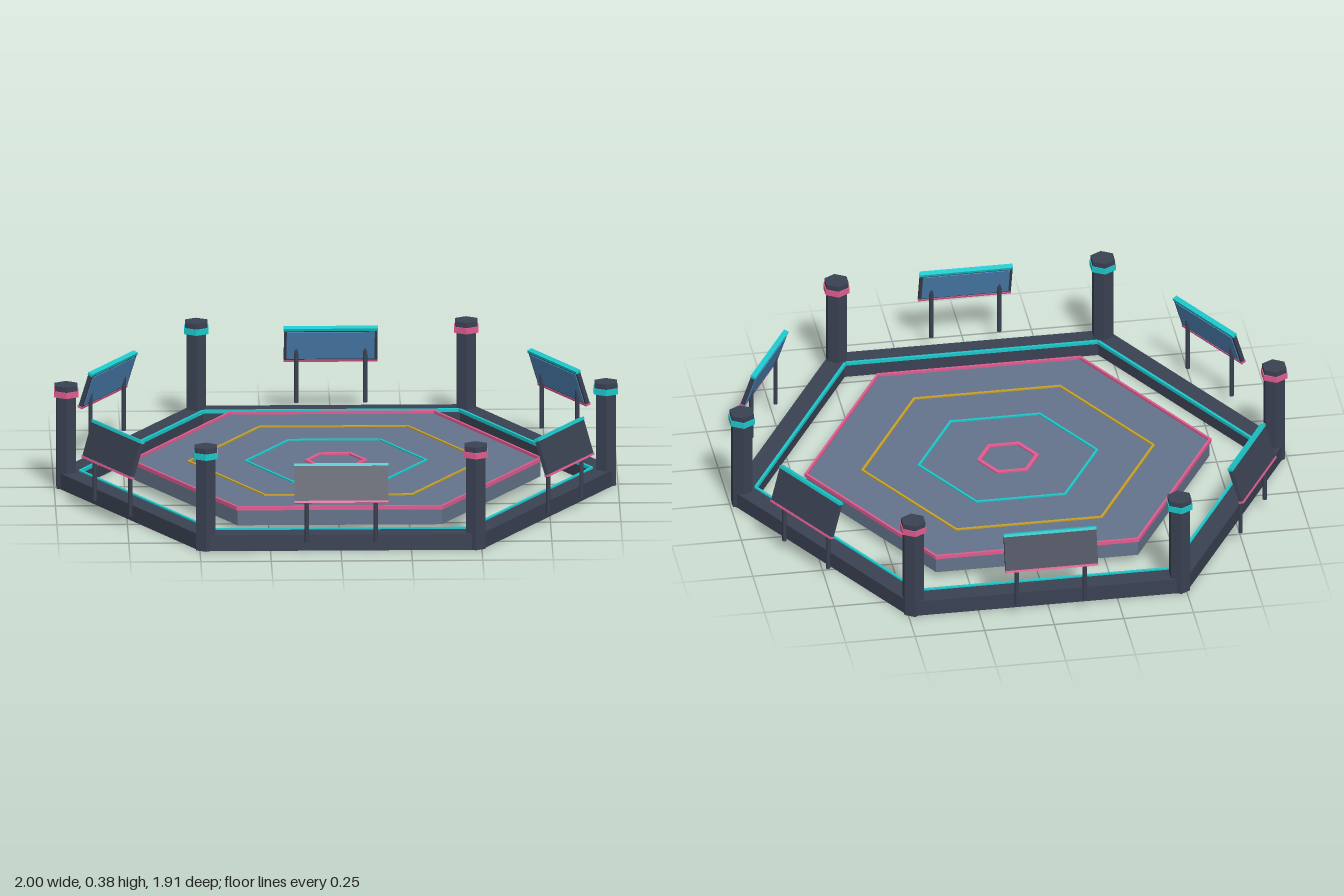
import * as THREE from 'three';

const paint = (name, color) => {
  const m = new THREE.MeshStandardMaterial({ color });
  m.name = name;
  return m;
};

export function createModel() {
  const dark = paint('dark metal', 0x3a4152);
  const slate = paint('slate floor', 0x64748b);
  const cyan = paint('cyan glow', 0x1cc8cc);
  const pink = paint('pink glow', 0xe05c90);
  const yellow = paint('yellow line', 0xc9a227);
  const blue = paint('blue screen', 0x4f86b8);

  const model = new THREE.Group();
  model.name = 'hexArena';

  const add = (parent, name, geometry, material, x = 0, y = 0, z = 0) => {
    const mesh = new THREE.Mesh(geometry, material);
    mesh.name = name;
    mesh.position.set(x, y, z);
    parent.add(mesh);
    return mesh;
  };
  const box = (w, h, d) => new THREE.BoxGeometry(w, h, d);

  // Six-sided prism with sharp faces
  const prism = (r, h) => new THREE.CylinderGeometry(r, r, h, 6).toNonIndexed();
  const hexPrism = (r, h) => {
    const g = prism(r, h);
    g.computeVertexNormals();
    return g;
  };

  // Flat hexagonal ring with corners on the x axis
  const hexPoints = (r) => Array.from({ length: 6 }, (_, i) =>
    new THREE.Vector2(r * Math.cos(i * Math.PI / 3), r * Math.sin(i * Math.PI / 3)));
  const hexRing = (outer, inner, h) => {
    const shape = new THREE.Shape(hexPoints(outer));
    shape.holes.push(new THREE.Path(hexPoints(inner).reverse()));
    return new THREE.ExtrudeGeometry(shape, { depth: h, bevelEnabled: false }).rotateX(-Math.PI / 2);
  };

  // Floor platform and its glowing outlines
  add(model, 'platform', hexPrism(0.725, 0.06).rotateY(Math.PI / 6), slate, 0, 0.06, 0);
  add(model, 'platformRim', hexRing(0.731, 0.721, 0.014), pink, 0, 0.086, 0);
  add(model, 'outerFloorLine', hexRing(0.528, 0.518, 0.006), yellow, 0, 0.089, 0);
  add(model, 'middleFloorLine', hexRing(0.325, 0.315, 0.006), cyan, 0, 0.089, 0);
  add(model, 'centreFloorLine', hexRing(0.112, 0.096, 0.007), pink, 0, 0.089, 0);

  const R = 0.957;
  for (let i = 0; i < 6; i++) {
    // Corner post with glowing band and cap
    const a = i * Math.PI / 3;
    const post = new THREE.Group();
    post.name = 'cornerPost';
    post.position.set(R * Math.cos(a), 0, R * Math.sin(a));
    add(post, 'postShaft', hexPrism(0.04, 0.365), dark, 0, 0.1825, 0);
    add(post, 'postBand', hexPrism(0.05, 0.022), i % 2 ? pink : cyan, 0, 0.348, 0);
    add(post, 'postCap', hexPrism(0.046, 0.02), dark, 0, 0.368, 0);
    model.add(post);

    // One side of the hexagon: low wall, light strip and sign, outward is +z
    const side = new THREE.Group();
    side.name = 'arenaSide';
    side.rotation.y = a;
    add(side, 'wall', box(R, 0.058, 0.072), dark, 0, 0.029, 0.825);
    add(side, 'wallLight', box(0.904, 0.012, 0.01), cyan, 0, 0.057, 0.786);

    // Sign panel leaning inward
    const sign = new THREE.Group();
    sign.name = 'signPanel';
    sign.position.set(0, 0.265, 0.924);
    sign.rotation.x = -0.32;
    add(sign, 'signBoard', box(0.332, 0.132, 0.015), dark);
    add(sign, 'signScreen', box(0.312, 0.112, 0.004), blue, 0, 0, -0.0085);
    add(sign, 'signTopLight', box(0.334, 0.01, 0.019), cyan, 0, 0.066, 0);
    add(sign, 'signBottomLight', box(0.334, 0.008, 0.019), pink, 0, -0.066, 0);
    side.add(sign);

    for (const s of [-1, 1]) {
      add(side, 'signLeg', new THREE.CylinderGeometry(0.008, 0.008, 0.205, 8), dark, s * 0.122, 0.1525, 0.926);
    }
    model.add(side);
  }
  return model;
}
